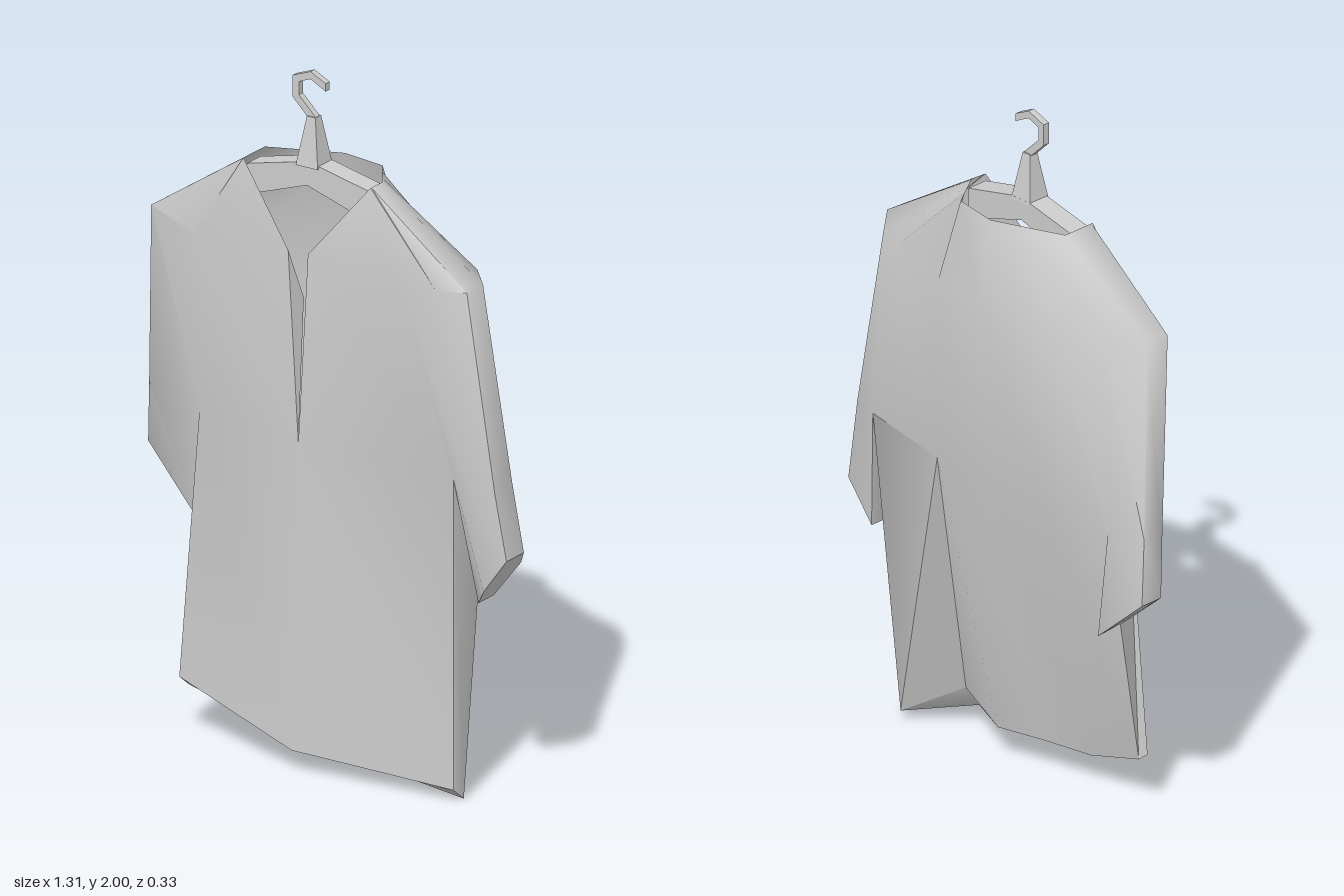
import * as THREE from 'three';
import { toCreasedNormals } from 'three/addons/utils/BufferGeometryUtils.js';

const material = new THREE.MeshStandardMaterial({ color: 0xcccccc, side: THREE.DoubleSide });

// Outlines run from the front slit round the model's left, the back and the right.
const neck = [
  [-0.005, 1.5, 0.12], [0.17, 1.715, 0.075], [0.17, 1.715, 0.07], [0.17, 1.715, 0.06], [0.17, 1.715, 0.02],
  [0.15, 1.715, -0.011], [0.125, 1.715, -0.05], [0.1, 1.715, -0.09], [-0.04, 1.715, -0.115], [-0.16, 1.715, -0.07],
  [-0.25, 1.715, -0.035], [-0.25, 1.715, -0.01], [-0.25, 1.715, 0.065], [-0.25, 1.715, 0.07], [-0.07, 1.5, 0.12],
];
const shoulder = [
  [-0.005, 1.5, 0.12], [0.3, 1.47, 0.122], [0.42, 1.48, 0.125], [0.512, 1.493, 0.115], [0.515, 1.495, 0.04],
  [0.43, 1.49, -0.06], [0.36, 1.48, -0.085], [0.12, 1.48, -0.16], [-0.05, 1.48, -0.165], [-0.3, 1.47, -0.145],
  [-0.45, 1.48, -0.088], [-0.567, 1.5, -0.035], [-0.575, 1.5, 0.035], [-0.4, 1.47, 0.09], [-0.07, 1.5, 0.12],
];
const armpit = [
  [-0.03, 0.95, 0.13], [0.465, 0.94, 0.11], [0.53, 0.92, 0.13], [0.612, 0.93, 0.127], [0.614, 0.94, 0.045],
  [0.55, 0.93, -0.04], [0.45, 0.94, -0.08], [0.12, 0.95, -0.16], [-0.05, 0.95, -0.155], [-0.28, 0.93, -0.145],
  [-0.49, 0.92, -0.11], [-0.635, 0.95, -0.115], [-0.635, 0.95, -0.045], [-0.4, 0.95, 0.06], [-0.03, 0.95, 0.13],
];
const hem = [
  [-0.03, 0.065, 0.163], [0.465, 0.035, 0.11], [0.472, 0, 0.07], [0.41, 0.024, -0.013], [0.256, 0.115, 0.085],
  [0.043, 0.1, -0.003], [-0.1, 0.1, 0.03], [-0.25, 0.095, 0.063], [-0.43, 0.145, 0.068], [-0.455, 0.165, 0.077],
];
const leftCuff = [
  [0.5, 0.565, 0.04], [0.575, 0.64, 0.127], [0.652, 0.745, 0.13],
  [0.652, 0.745, 0.045], [0.59, 0.68, -0.035], [0.5, 0.565, -0.035],
];
const rightCuff = [[-0.472, 0.605, -0.13], [-0.655, 0.765, -0.143], [-0.655, 0.765, -0.07], [-0.46, 0.605, -0.01]];

const same = (a, b) => a.every((v, i) => Math.abs(v - b[i]) < 1e-6);
const pick = (outline, indices) => indices.map((i) => outline[i]);

function addTriangle(out, a, b, c) {
  if (!same(a, b) && !same(b, c) && !same(a, c)) out.push(...a, ...b, ...c);
}

// Skin between two outlines of equal count
function loft(out, top, bottom, closed) {
  const n = top.length;
  for (let i = 0; i < (closed ? n : n - 1); i++) {
    const j = (i + 1) % n;
    addTriangle(out, top[i], bottom[i], bottom[j]);
    addTriangle(out, top[i], bottom[j], top[j]);
  }
}

// Downward-facing fan that closes an outline
function cap(out, ring, centre) {
  ring.forEach((p, i) => addTriangle(out, centre, ring[(i + 1) % ring.length], p));
}

function mesh(name, geometry) {
  const m = new THREE.Mesh(geometry, material);
  m.name = name;
  return m;
}

function skin(name, build) {
  const positions = [];
  build(positions);
  const geometry = new THREE.BufferGeometry();
  geometry.setAttribute('position', new THREE.Float32BufferAttribute(positions, 3));
  return mesh(name, toCreasedNormals(geometry, 1.3));
}

// Flat outline in x and y, thickened in z
function plate(name, points, z, depth) {
  const shape = new THREE.Shape(points.map(([x, y]) => new THREE.Vector2(x, y)));
  const geometry = new THREE.ExtrudeGeometry(shape, { depth, bevelEnabled: false });
  return mesh(name, geometry.translate(0, 0, z));
}

export function createModel() {
  const group = new THREE.Group();
  group.name = 'shirtOnHanger';

  // Shirt: yoke and chest, then the body panels and two sleeves below the armpits
  const apex = armpit[7];
  group.add(skin('shirt', (out) => {
    loft(out, neck, shoulder, false);
    loft(out, shoulder, armpit, false);
    loft(out, pick(armpit, [13, 0, 1]), pick(hem, [9, 0, 1]), false);
    loft(out, pick(armpit, [7, 7, 8, 9, 10]), hem.slice(4, 9), false);
    loft(out, armpit.slice(1, 7), leftCuff, true);
    loft(out, armpit.slice(10, 14), rightCuff, true);
  }));
  group.add(skin('leftSidePanel', (out) => loft(out, pick(armpit, [1, 6, 7]), hem.slice(1, 4), false)));
  group.add(skin('rightSidePanel', (out) => {
    addTriangle(out, armpit[10], hem[8], armpit[13]);
    addTriangle(out, armpit[13], hem[8], hem[9]);
  }));
  // Inward fold at the back, with a hard edge
  group.add(skin('backPleat', (out) => addTriangle(out, apex, hem[3], hem[4])));
  group.add(skin('hemUnderside', (out) => cap(out, hem, [0.24, 0.055, 0.12])));
  group.add(skin('leftCuffEnd', (out) => cap(out, leftCuff, leftCuff[0])));
  group.add(skin('rightCuffEnd', (out) => cap(out, rightCuff, rightCuff[0])));

  // Turned-in edges of the front slit
  group.add(skin('slitFacing', (out) => {
    addTriangle(out, neck[14], armpit[14], [-0.052, 1.35, 0.07]);
    addTriangle(out, armpit[0], neck[0], [-0.02, 1.35, 0.07]);
  }));

  // Hanger: shoulder bar, tapering stem and hook
  const hanger = new THREE.Group();
  hanger.name = 'hanger';
  hanger.add(plate('hangerBar', [
    [-0.24, 1.7], [-0.24, 1.61], [-0.045, 1.676], [0.16, 1.61], [0.16, 1.7], [-0.005, 1.738], [-0.075, 1.738],
  ], 0, 0.066));
  const stem = new THREE.CylinderGeometry(0.014 * Math.SQRT2, 0.036 * Math.SQRT2, 0.14, 4);
  stem.rotateY(Math.PI / 4).translate(-0.042, 1.8, 0.035);
  hanger.add(mesh('hangerStem', toCreasedNormals(stem, 0.5)));
  hanger.add(plate('hook', [
    [-0.056, 1.866], [-0.105, 1.915], [-0.105, 1.978], [-0.047, 2], [0.003, 1.975], [0.003, 1.952],
    [-0.047, 1.978], [-0.085, 1.963], [-0.085, 1.925], [-0.028, 1.868],
  ], 0.025, 0.02));
  group.add(hanger);
  return group;
}
